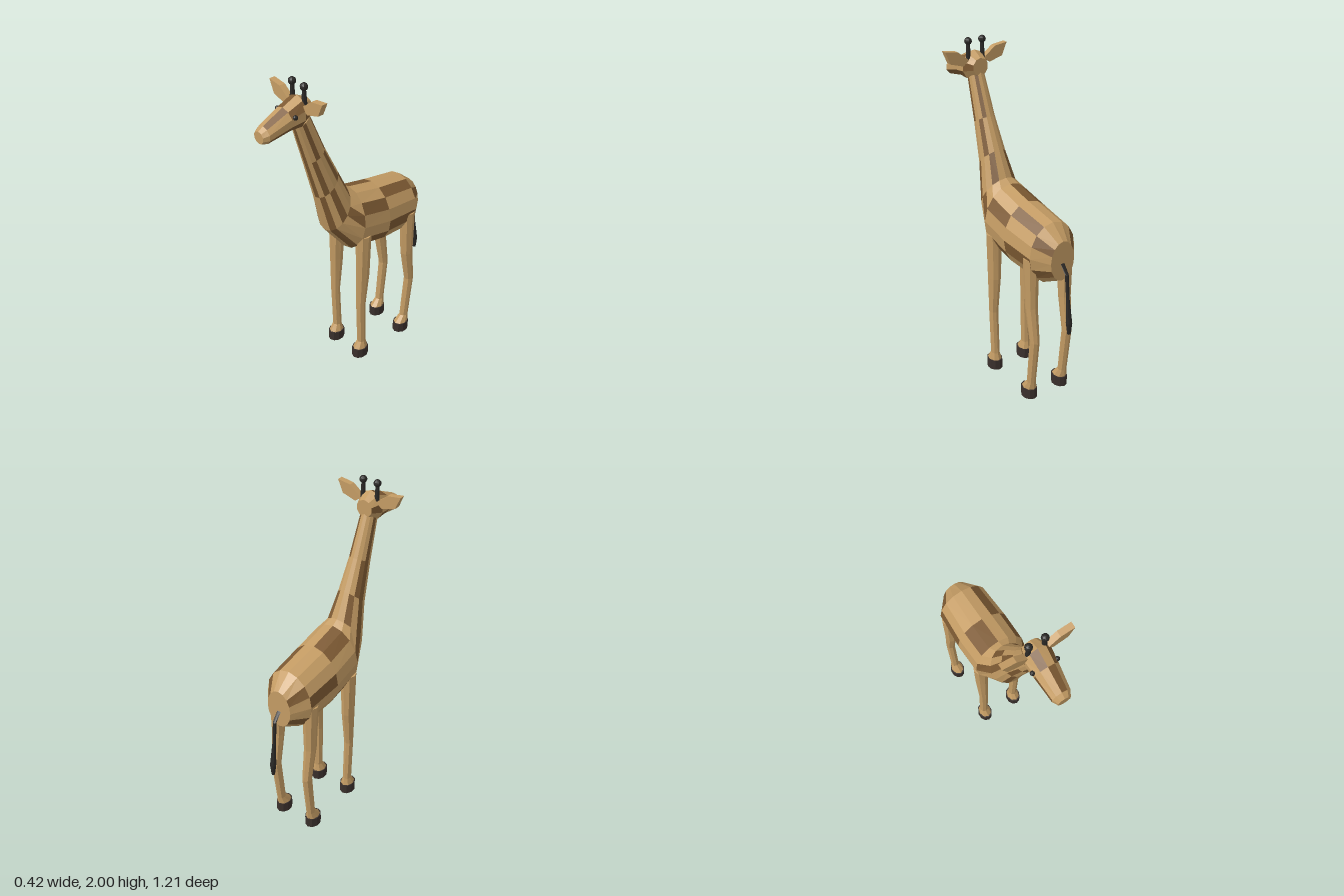
import * as THREE from 'three';

const mat = (name, color) => {
  const m = new THREE.MeshStandardMaterial({ color, flatShading: true });
  m.name = name;
  return m;
};

// Closed loft through oval rings [topY, topZ, bottomY, bottomZ, halfWidth, centreX].
// patches: one string per segment, '#' marks a face that uses the second material.
function loft(name, rings, sides, materials, patches = []) {
  const faces = [[], []];
  const point = (r, j) => {
    const [ty, tz, by, bz, w, cx = 0] = rings[r];
    const a = (j % sides) / sides * Math.PI * 2, c = Math.cos(a) / 2;
    return [cx + w * Math.sin(a), (ty + by) / 2 + (ty - by) * c, (tz + bz) / 2 + (tz - bz) * c];
  };
  const middle = (r) => {
    const [ty, tz, by, bz, , cx = 0] = rings[r];
    return [cx, (ty + by) / 2, (tz + bz) / 2];
  };
  const last = rings.length - 1;
  for (let j = 0; j < sides; j++) {
    for (let r = 0; r < last; r++) {
      const list = faces[patches[r] && patches[r][j] === '#' ? 1 : 0];
      const a = point(r, j), b = point(r + 1, j), c = point(r + 1, j + 1), d = point(r, j + 1);
      list.push(...a, ...b, ...c, ...a, ...c, ...d);
    }
    faces[0].push(...middle(0), ...point(0, j), ...point(0, j + 1));
    faces[0].push(...middle(last), ...point(last, j + 1), ...point(last, j));
  }
  const g = new THREE.BufferGeometry();
  g.setAttribute('position', new THREE.Float32BufferAttribute([...faces[0], ...faces[1]], 3));
  g.addGroup(0, faces[0].length / 3, 0);
  if (faces[1].length) g.addGroup(faces[0].length / 3, faces[1].length / 3, 1);
  g.computeVertexNormals();
  const mesh = new THREE.Mesh(g, materials);
  mesh.name = name;
  return mesh;
}

export function createModel() {
  const tan = mat('tan coat', 0xc49c64);
  const brown = mat('brown patches', 0x7d5a33);
  const hoofDark = mat('hoof', 0x3a302c);
  const dark = mat('dark hair and eyes', 0x2a2826);
  const coat = [tan, brown];
  const model = new THREE.Group();
  model.name = 'giraffe';
  const add = (name, geometry, material, x, y, z, parent = model) => {
    const mesh = new THREE.Mesh(geometry, material);
    mesh.name = name;
    mesh.position.set(x, y, z);
    parent.add(mesh);
    return mesh;
  };

  // Body and neck as one skin, from rump to nape
  model.add(loft('bodyAndNeck', [
    [1.05, -0.515, 0.81, -0.515, 0.08],
    [1.13, -0.42, 0.76, -0.42, 0.155],
    [1.17, -0.19, 0.77, -0.19, 0.168],
    [1.212, -0.01, 0.81, 0.03, 0.163],
    [1.235, 0.03, 1.0, 0.18, 0.115],
    [1.385, 0.1, 1.25, 0.243, 0.08],
    [1.565, 0.187, 1.5, 0.315, 0.06],
    [1.8, 0.285, 1.74, 0.385, 0.048],
  ], 16, coat, [
    '..#..#....#..#..',
    '.#..#..#.#..#...',
    '..#..#.#..#...##',
    '...#..#..#..#...',
    '.#..#.#..#..#.#.',
    '..#..#.#..#.##..',
    '.#..#..#.#..#...',
  ]));

  // Head, from the back of the skull to the muzzle
  model.add(loft('head', [
    [1.885, 0.285, 1.78, 0.285, 0.05],
    [1.92, 0.35, 1.74, 0.36, 0.08],
    [1.88, 0.445, 1.745, 0.43, 0.072],
    [1.82, 0.575, 1.722, 0.575, 0.056],
    [1.8, 0.605, 1.73, 0.605, 0.038],
  ], 10, coat, ['..#....#..', '.#.#..#..#', '#..#...#..', '']));

  // Tail with a thicker tuft
  model.add(loft('tail', [
    [0.93, -0.5, 0.91, -0.52, 0.012],
    [0.87, -0.545, 0.86, -0.565, 0.012],
    [0.72, -0.56, 0.72, -0.58, 0.01],
    [0.57, -0.57, 0.57, -0.605, 0.019],
    [0.5, -0.58, 0.5, -0.6, 0.01],
  ].reverse().map(([ty, tz, by, bz, w]) => [by, bz, ty, tz, w]), 8, [dark]));

  // Leg profiles: [height, front z, back z, half width, centre x]
  const legShapes = {
    front: [[0.93, 0.03, -0.065, 0.047, 0.118], [0.64, 0.028, -0.06, 0.036, 0.118],
      [0.4, 0.025, -0.032, 0.028, 0.116], [0.11, 0.014, -0.043, 0.026, 0.114]],
    hind: [[0.93, -0.335, -0.43, 0.047, 0.118], [0.62, -0.352, -0.43, 0.036, 0.118],
      [0.4, -0.393, -0.455, 0.028, 0.116], [0.11, -0.367, -0.422, 0.026, 0.114]],
  };
  const hoofZ = { front: -0.005, hind: -0.37 };

  // Flat leaf-shaped ear
  const earShape = new THREE.Shape([[0.05, 1.87], [0.09, 1.84], [0.175, 1.865], [0.208, 1.94], [0.125, 1.928]]
    .map(([x, y]) => new THREE.Vector2(x, y)));
  const mirroredEar = new THREE.Shape(earShape.getPoints().map((p) => new THREE.Vector2(-p.x, p.y)));

  for (const [side, s] of [['left', 1], ['right', -1]]) {
    for (const kind of ['front', 'hind']) {
      const leg = new THREE.Group();
      leg.name = `${side} ${kind} leg`;
      const z = hoofZ[kind], x = s * 0.112;
      const rings = legShapes[kind].map(([y, zf, zb, w, cx]) => [y, zf, y, zb, w, s * cx]);
      rings.push([0.062, z + 0.05, 0.062, z - 0.05, 0.04, x]);
      leg.add(loft('shank', rings, 8, [tan]));
      const hoof = add('hoof', new THREE.CylinderGeometry(0.044, 0.044, 0.064, 10), hoofDark, x, 0.032, z, leg);
      hoof.scale.z = 1.25;
      model.add(leg);
    }
    const ear = new THREE.ExtrudeGeometry(s > 0 ? earShape : mirroredEar, { depth: 0.036, bevelEnabled: false });
    add(`${side} ear`, ear, tan, 0, 0, 0.325);
    add(`${side} eye`, new THREE.SphereGeometry(0.014, 8, 6), dark, s * 0.072, 1.84, 0.422);
    // Horn stem and knob
    add(`${side} horn stem`, new THREE.CylinderGeometry(0.01, 0.016, 0.11, 8), dark, s * 0.047, 1.92, 0.34);
    add(`${side} horn knob`, new THREE.SphereGeometry(0.022, 10, 8), dark, s * 0.047, 1.978, 0.34);
  }
  return model;
}
